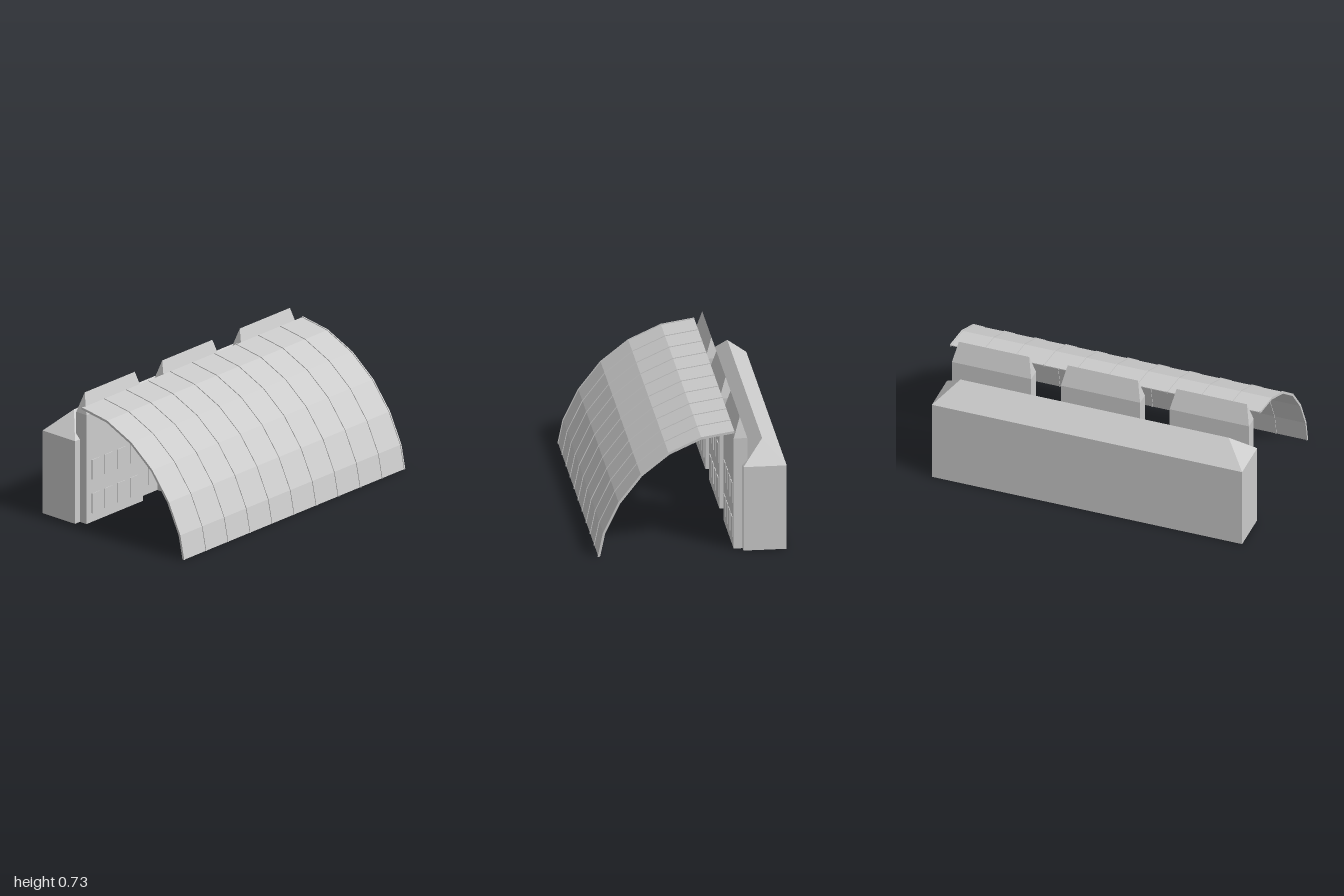
import * as THREE from 'three';

const LENGTH = 1.73;

// Hip-roofed shell, open underneath: walls up to the eaves, then a ridge along z.
function hippedBlock(x0, x1, halfLen, eave, ridgeX, ridgeHalf, ridgeY) {
  const base = [[x0, 0, halfLen], [x1, 0, halfLen], [x1, 0, -halfLen], [x0, 0, -halfLen]];
  const top = base.map(([x, , z]) => [x, eave, z]);
  const front = [ridgeX, ridgeY, ridgeHalf];
  const back = [ridgeX, ridgeY, -ridgeHalf];
  const pos = [];
  const tri = (a, b, c) => pos.push(...a, ...b, ...c);
  const quad = (a, b, c, d) => { tri(a, b, c); tri(a, c, d); };
  for (let i = 0; i < 4; i++) {
    const j = (i + 1) % 4;
    quad(base[i], base[j], top[j], top[i]);
  }
  tri(top[0], top[1], front);
  quad(top[1], top[2], back, front);
  tri(top[2], top[3], back);
  quad(top[3], top[0], front, back);
  const geo = new THREE.BufferGeometry();
  geo.setAttribute('position', new THREE.Float32BufferAttribute(pos, 3));
  geo.computeVertexNormals();
  return geo;
}

// Curved canopy profile, from the ground edge to the top edge
const PROFILE = [[0.487, 0], [0.46, 0.13], [0.38, 0.295], [0.263, 0.445],
  [0.117, 0.56], [-0.055, 0.638], [-0.23, 0.665]];

// Extrudes the profile as a strip between two radial offsets.
function archStrip(outer, inner, depth) {
  const cx = -0.23, cy = -0.05;
  const offset = (d) => PROFILE.map(([x, y]) => {
    const r = Math.hypot(x - cx, y - cy);
    return new THREE.Vector2(x + (x - cx) / r * d, y === 0 ? 0 : y + (y - cy) / r * d);
  });
  const shape = new THREE.Shape([...offset(outer), ...offset(inner).reverse()]);
  const geo = new THREE.ExtrudeGeometry(shape, { depth, bevelEnabled: false });
  geo.translate(0, 0, -depth / 2);
  return geo;
}

export function createModel() {
  const model = new THREE.Group();
  model.name = 'shelter';
  const grey = new THREE.MeshStandardMaterial({ color: 0xcccccc, side: THREE.DoubleSide });
  grey.name = 'light grey';

  const add = (name, geo, x = 0, y = 0, z = 0) => {
    const mesh = new THREE.Mesh(geo, grey);
    mesh.name = name;
    mesh.position.set(x, y, z);
    model.add(mesh);
    return mesh;
  };

  // Canopy skin and its eleven thin ribs
  add('canopy', archStrip(0, -0.005, LENGTH));
  const ribGeo = archStrip(0.004, -0.009, 0.007);
  for (let i = 0; i <= 10; i++) {
    add('canopyRib', ribGeo, 0, 0, (i / 10 - 0.5) * (LENGTH - 0.007));
  }

  // Long low building at the back
  add('longBuilding', hippedBlock(-0.505, -0.277, LENGTH / 2, 0.465, -0.39, 0.748, 0.58));

  // Three tall narrow blocks with window plates on the canopy side
  const blockGeo = hippedBlock(-0.302, -0.23, 0.221, 0.613, -0.265, 0.196, 0.725);
  const windowGeo = new THREE.BoxGeometry(0.006, 0.11, 0.06);
  for (const z of [-0.607, 0, 0.607]) {
    add('tallBlock', blockGeo, 0, 0, z);
    for (const y of [0.105, 0.295]) {
      for (const dz of [-0.15, -0.05, 0.05, 0.15]) add('window', windowGeo, -0.229, y, z + dz);
    }
  }

  // Window plates on the building wall between the blocks
  for (const z of [-0.3035, 0.3035]) {
    for (const y of [0.105, 0.295]) add('gapWindow', windowGeo, -0.276, y, z - 0.04);
  }

  // The whole shelter stands at an angle
  model.rotation.y = -THREE.MathUtils.degToRad(29.35);
  const root = new THREE.Group();
  root.name = 'model';
  root.add(model);
  return root;
}
